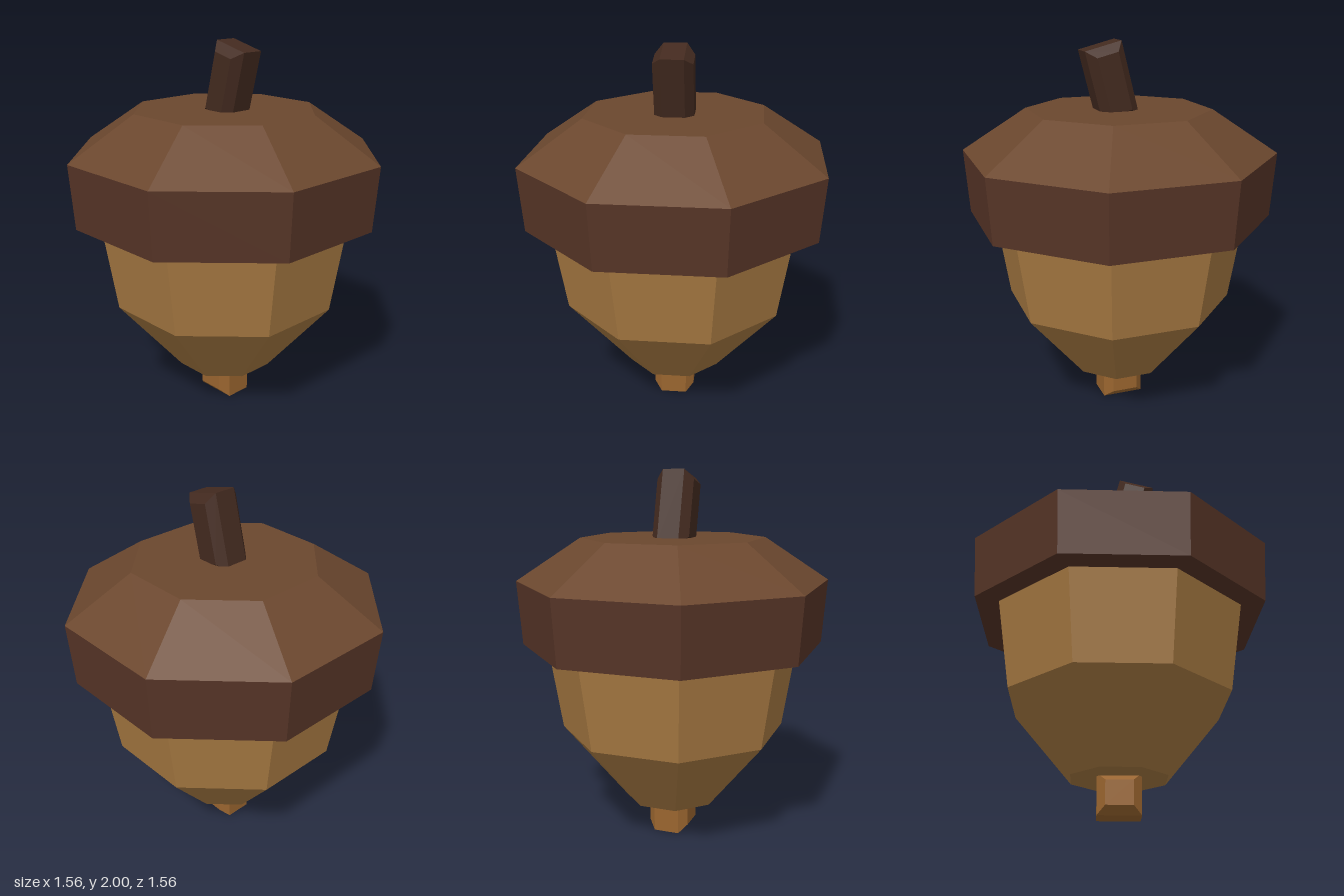
import * as THREE from 'three';

const SIDES = 8;

function part(name, geometry, color) {
  const material = new THREE.MeshStandardMaterial({ color });
  material.flatShading = true;
  const mesh = new THREE.Mesh(geometry, material);
  mesh.name = name;
  return mesh;
}

// Octagonal turned solid with flats facing the axes; profile is [half width across flats, y], bottom to top
function octagonal(profile) {
  const k = 1 / Math.cos(Math.PI / SIDES);
  const points = profile.map(([r, y]) => new THREE.Vector2(r * k, y));
  return new THREE.LatheGeometry(points, SIDES, Math.PI / SIDES);
}

// Block standing on y = 0 whose front and back faces are chamfered all round
function chamferedBlock(width, height, depth, bevel) {
  const w = width / 2 - bevel;
  const shape = new THREE.Shape([
    new THREE.Vector2(-w, bevel),
    new THREE.Vector2(w, bevel),
    new THREE.Vector2(w, height - bevel),
    new THREE.Vector2(-w, height - bevel),
  ]);
  const core = depth - 2 * bevel;
  const geometry = new THREE.ExtrudeGeometry(shape, {
    depth: core, bevelEnabled: true, bevelSegments: 1, bevelSize: bevel, bevelThickness: bevel,
  });
  return geometry.translate(0, 0, -core / 2);
}

export function createModel() {
  const acorn = new THREE.Group();
  acorn.name = 'acorn';

  // Nut body, tapering to a flat base
  acorn.add(part('nut', octagonal([[0, 0.195], [0.245, 0.195], [0.565, 0.6], [0.635, 1.07]]), 0xa87a42));

  // Small point under the nut
  acorn.add(part('tip', chamferedBlock(0.225, 0.21, 0.225, 0.042), 0x9a652f));

  // Cap: upright rim with flat underside, then sloping crown with flat top
  acorn.add(part('capRim', octagonal([[0, 1.07], [0.755, 1.07], [0.778, 1.415]]), 0x573527));
  acorn.add(part('capCrown', octagonal([[0.778, 1.415], [0.456, 1.645], [0, 1.645]]), 0x6b472e));

  // Stem leaning to the model's left
  const stem = part('stem', chamferedBlock(0.202, 0.39, 0.205, 0.043), 0x432a1f);
  stem.position.set(0.006, 1.597, 0);
  stem.rotation.z = -0.25;
  acorn.add(stem);

  return acorn;
}
